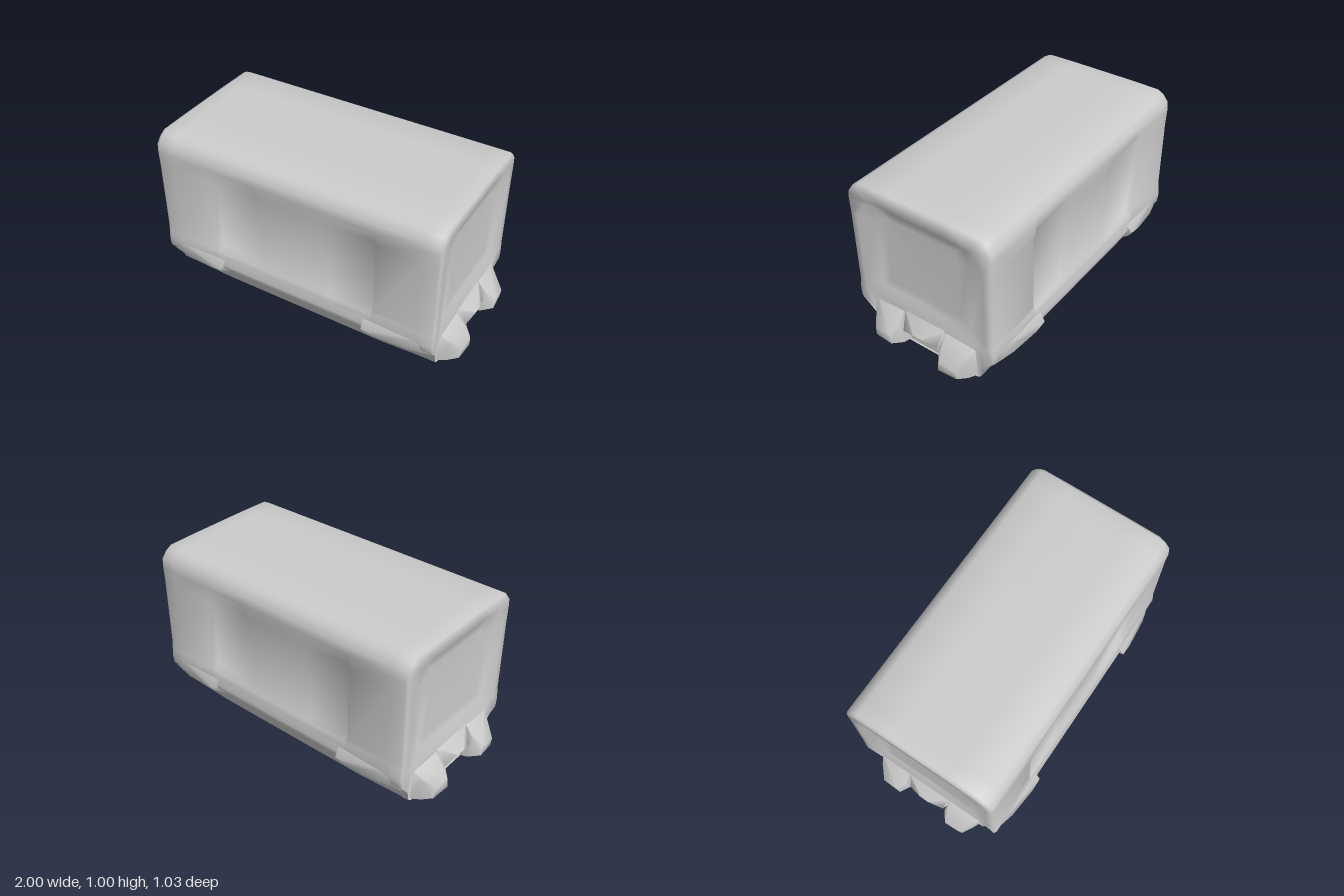
import * as THREE from 'three';
import { toCreasedNormals } from 'three/addons/utils/BufferGeometryUtils.js';
import { ConvexGeometry } from 'three/addons/geometries/ConvexGeometry.js';

const material = new THREE.MeshStandardMaterial({ color: 0xcccccc, side: THREE.DoubleSide });
const { clamp } = THREE.MathUtils;

function part(name, geometry, parent) {
  const mesh = new THREE.Mesh(geometry, material);
  mesh.name = name;
  parent.add(mesh);
}

// Softly shaded convex lump, mirrored by sx and sz
function lump(points, sx = 1, sz = 1) {
  const corners = points.map(([x, y, z]) => new THREE.Vector3(sx * x, y, sz * z));
  return toCreasedNormals(new ConvexGeometry(corners), 1.3);
}

// Skin a series of closed loops of [x, y, z] points
function skin(loops, crease) {
  const n = loops[0].length, index = [];
  for (let i = 0; i < loops.length - 1; i++) {
    for (let j = 0; j < n; j++) {
      const a = i * n + j, b = i * n + (j + 1) % n;
      index.push(a, b, a + n, b, b + n, a + n);
    }
  }
  const g = new THREE.BufferGeometry();
  g.setAttribute('position', new THREE.Float32BufferAttribute(loops.flat(2), 3));
  g.setIndex(index);
  return toCreasedNormals(g, crease);
}

// Half cross-section from the roof centre down to the floor: y, z, share of the window recess
const profile = [
  [1.01, 0, 0], [1.01, 0.2, 0], [1.007, 0.395, 0], [0.985, 0.435, 0], [0.94, 0.468, 0],
  [0.89, 0.472, 0], [0.8, 0.468, 1], [0.34, 0.468, 1], [0.315, 0.472, 0], [0.25, 0.478, 0],
  [0.2, 0.472, 0], [0.1, 0.385, 0], [0.025, 0.373, 0], [0.01, 0.35, 0], [0.008, 0, 0],
];

// Distance from the middle and recess depth there: windows ramp up to a shallow centre panel
const stations = [
  [0.9, 0], [0.885, 0], [0.8, 0], [0.53, 0], [0.51, 0.035], [0.24, 0.022], [0.2, 0.016],
];

function section(x, depth) {
  const end = Math.abs(x) > 0.89;
  const half = profile.map(([y, z, recess]) => {
    const py = y > 0.95 && end ? y - 0.006 : y < 0.05 && Math.abs(x) > 0.75 ? y + 0.015 : y;
    const px = end && py < 0.12 ? Math.sign(x) * 0.875 : x;
    return [px, py, z * (end ? 0.985 : 1) - recess * depth];
  });
  const back = half.slice(1, -1).reverse().map(([px, y, z]) => [px, y, -z]);
  return [...half, ...back];
}

// Pull the end section inwards to a panel outline with cut upper corners
function panelLoop(x, y0, y1, zTop, zMax) {
  return section(x, 0).map(([, y, z]) => {
    const py = clamp(y, y0, y1);
    const limit = Math.min(zMax, zTop + (y1 - py) * 0.7);
    return [x, py, clamp(z, -limit, limit)];
  });
}

// Sunken end panel, from its opening to its middle
const endLoops = (s) => [
  panelLoop(s * 0.9, 0.3, 0.92, 0.34, 0.42),
  panelLoop(s * 0.875, 0.35, 0.89, 0.29, 0.31),
  panelLoop(s * 0.872, 0.4, 0.84, 0.22, 0.24),
  panelLoop(s * 0.872, 0.62, 0.62, 0, 0),
];

export function createModel() {
  const model = new THREE.Group();
  model.name = 'railCar';

  // Body shell with side windows and sunken end panels
  part('body', skin([
    ...endLoops(-1).reverse(),
    ...stations.map(([x, d]) => section(-x, d)),
    ...[...stations].reverse().map(([x, d]) => section(x, d)),
    ...endLoops(1),
  ], 1.62), model);

  for (const sx of [1, -1]) {
    // Coupler, overhanging towards its top
    part('coupler', lump([
      [0.895, 0.26, 0.14], [0.895, 0.26, -0.14], [0.965, 0.18, 0.03], [0.965, 0.18, -0.03],
      [0.945, 0.15, 0.12], [0.945, 0.15, -0.12], [0.86, 0.05, 0.14], [0.86, 0.05, -0.14],
    ], sx), model);

    for (const sz of [1, -1]) {
      // Tapered buffers either side of the coupler
      part('buffer', lump([
        [0.89, 0.25, 0.15], [0.89, 0.24, 0.35], [0.95, 0.185, 0.14], [0.93, 0.18, 0.335],
        [1.0, 0.135, 0.18], [1.0, 0.125, 0.28], [1.0, 0.065, 0.17], [0.99, 0.06, 0.29],
        [0.93, 0.035, 0.14], [0.93, 0.035, 0.32], [0.84, 0.02, 0.13], [0.84, 0.02, 0.36],
      ], sx, sz), model);

      // Wedge-shaped axle boxes near the four corners
      part('axleBox', lump([
        [0.47, 0.28, 0.465], [0.86, 0.27, 0.465], [0.48, 0.21, 0.512], [0.56, 0.2, 0.514],
        [0.75, 0.19, 0.495], [0.88, 0.18, 0.46], [0.49, 0.17, 0.485], [0.5, 0.09, 0.383],
        [0.84, 0.08, 0.38], [0.47, 0.2, 0.4],
      ], sx, sz), model);
    }
  }

  // Sill ledge under the windows
  for (const sz of [1, -1]) {
    const points = [-0.5, 0.5].flatMap((x) => [
      [x, 0.3, 0.468], [x, 0.23, 0.487], [x, 0.2, 0.482], [x, 0.17, 0.44],
    ]);
    part('sill', lump(points, 1, sz), model);
  }
  return model;
}
